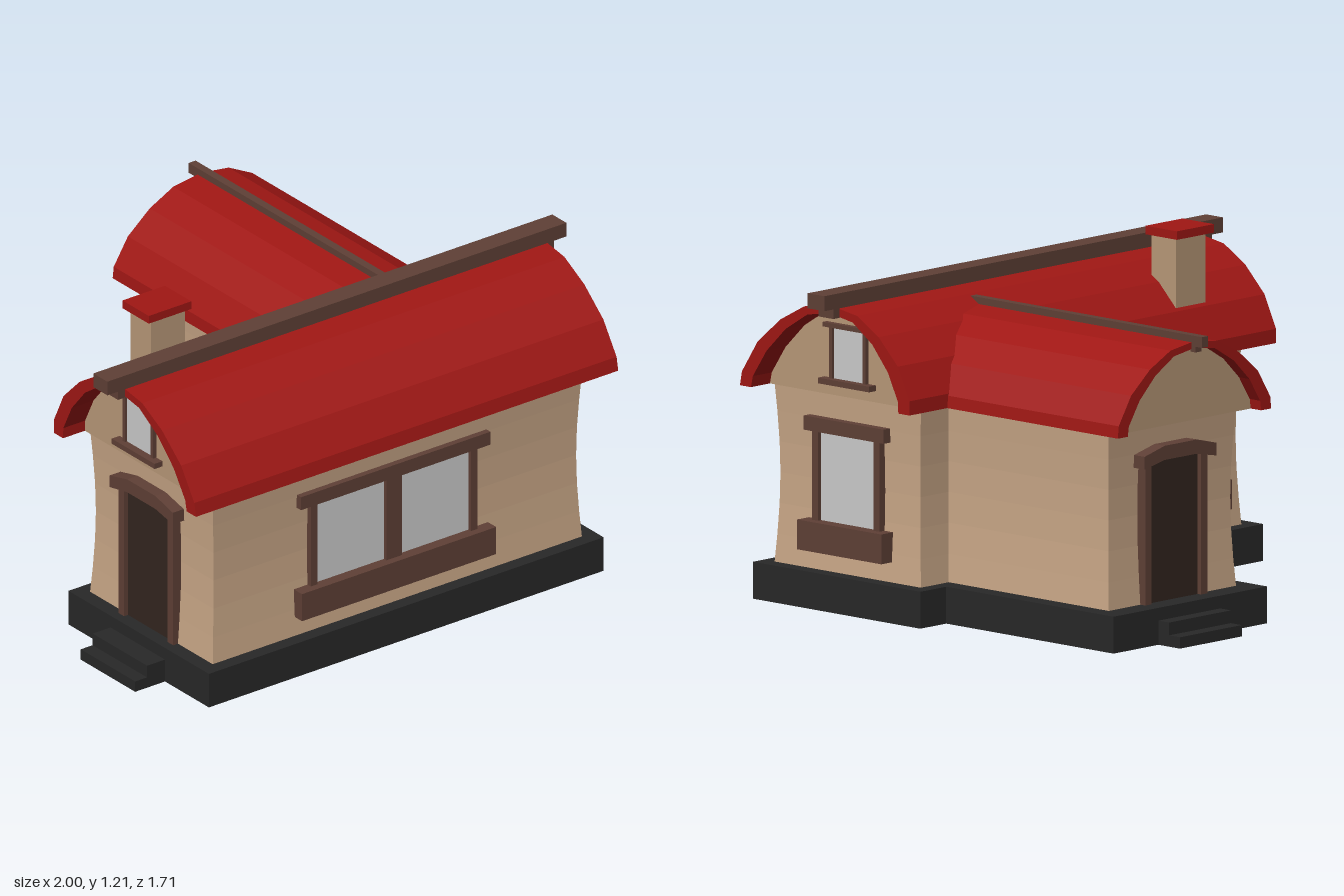
import * as THREE from 'three';

const mat = (color) => new THREE.MeshStandardMaterial({ color, flatShading: true, roughness: 0.9 });

export function createModel() {
  const M = {
    wall: mat(0xc9a787), gable: mat(0xb89878), roof: mat(0xa01714), wood: mat(0x5f4036),
    stone: mat(0x282828), door: mat(0x33261f), glass: mat(0xcccccc),
  };
  const house = new THREE.Group();
  house.name = 'house';

  const add = (parent, name, geometry, material) => {
    const mesh = new THREE.Mesh(geometry, material);
    mesh.name = name;
    parent.add(mesh);
    return mesh;
  };
  // Box given by its min and max on each axis
  const box = (parent, name, material, [x0, x1], [y0, y1], [z0, z1]) => {
    const g = new THREE.BoxGeometry(x1 - x0, y1 - y0, z1 - z0);
    g.translate((x0 + x1) / 2, (y0 + y1) / 2, (z0 + z1) / 2);
    return add(parent, name, g, material);
  };
  const extrude = (points, depth) => new THREE.ExtrudeGeometry(
    new THREE.Shape(points.map(([x, y]) => new THREE.Vector2(x, y))), { depth, bevelEnabled: false });

  // L-shaped plinth
  const plinth = extrude([[-0.86, -0.85], [0.86, -0.85], [0.86, -0.05], [0.73, -0.05],
    [0.73, 0.75], [-0.04, 0.75], [-0.04, -0.05], [-0.86, -0.05]], 0.13);
  plinth.rotateX(-Math.PI / 2);
  add(house, 'plinth', plinth, M.stone);

  // Walls, slightly pinched at half height
  const walls = (name, [x0, x1], [z0, z1]) => {
    const h = 0.65, pinch = 0.015;
    const g = new THREE.BoxGeometry(x1 - x0, h, z1 - z0, 1, 6, 1);
    const p = g.attributes.position;
    for (let i = 0; i < p.count; i++) {
      const inset = pinch * Math.cos((p.getY(i) / h) * Math.PI);
      p.setX(i, p.getX(i) - Math.sign(p.getX(i)) * inset);
      p.setZ(i, p.getZ(i) - Math.sign(p.getZ(i)) * inset);
    }
    g.translate((x0 + x1) / 2, 0.12 + h / 2, (z0 + z1) / 2);
    add(house, name, g, M.wall);
  };
  walls('mainWalls', [-0.805, 0.805], [0.1, 0.8]);
  walls('wingWalls', [0.025, 0.665], [-0.665, 0.3]);

  // Half profiles of the curved roof: [distance from centre, height above eaves]
  const outer = [[0.405, 0], [0.4, 0.05], [0.335, 0.165], [0.235, 0.257], [0.127, 0.318], [0, 0.338]];
  const inner = [[0.352, 0], [0.347, 0.04], [0.29, 0.138], [0.207, 0.227], [0.108, 0.292], [0, 0.31]];
  const EAVES = 0.76;
  const arch = (half, sx, sy, skew) => [
    ...half.map(([u, v]) => [u, v]), ...half.slice(0, -1).reverse().map(([u, v]) => [-u, v]),
  ].map(([u, v]) => [u * sx + skew * (v / 0.338), EAVES + v * sy]);

  // Roof shell and the gable body beneath it, centred on the origin along z
  const roof = (name, length, gableLength, sx, sy, skew) => {
    const group = new THREE.Group();
    group.name = name;
    const a = arch(outer, sx, sy, skew), b = arch(inner, sx, sy, skew);
    const shell = extrude([...a, ...b.slice().reverse()], length);
    shell.translate(0, 0, -length / 2);
    add(group, name + 'Shell', shell, M.roof);
    const body = extrude(b, gableLength);
    body.translate(0, 0, -gableLength / 2);
    add(group, name + 'Gable', body, M.gable);
    house.add(group);
    return group;
  };
  const mainRoof = roof('mainRoof', 1.84, 1.65, 1, 1, 0.03);
  mainRoof.rotation.y = Math.PI / 2;
  mainRoof.position.z = 0.45;
  const wingRoof = roof('wingRoof', 1.07, 0.97, 0.95, 0.86, 0);
  wingRoof.position.set(0.345, 0, -0.235);

  // Ridge beams with a small bracket at each free end
  box(house, 'mainRidge', M.wood, [-1, 1], [1.095, 1.148], [0.375, 0.455]);
  for (const s of [-1, 1]) {
    box(house, 'ridgeBracket', M.wood, [s * 0.935 - 0.015, s * 0.935 + 0.015], [1.06, 1.1], [0.38, 0.45]);
  }
  box(house, 'wingRidge', M.wood, [0.33, 0.36], [1.035, 1.073], [-0.82, 0.29]);
  box(house, 'wingRidgeBracket', M.wood, [0.33, 0.36], [1.015, 1.04], [-0.79, -0.765]);

  // Chimney
  box(house, 'chimneyShaft', M.gable, [-0.635, -0.485], [0.8, 1.185], [0.11, 0.225]);
  box(house, 'chimneyCap', M.roof, [-0.655, -0.47], [1.18, 1.21], [0.09, 0.24]);

  // Group whose local +z points out of a wall
  const onWall = (name, x, z, turn) => {
    const g = new THREE.Group();
    g.name = name;
    g.position.set(x, 0, z);
    g.rotation.y = turn;
    house.add(g);
    return g;
  };
  // Window: pane half width w, opening y0..y1, jamb width j, sill and lintel sizes
  const windowUnit = (g, { w, y0, y1, j, sillH, lintelH, over, mullion, out = 0.035 }) => {
    box(g, 'pane', M.glass, [-w, w], [y0, y1], [-0.03, 0.003]);
    for (const s of [-1, 1]) {
      const c = s * (w + j / 2);
      box(g, 'jamb', M.wood, [c - j / 2, c + j / 2], [y0, y1], [-0.03, out * 0.5]);
    }
    if (mullion) box(g, 'mullion', M.wood, [-mullion, mullion], [y0, y1], [-0.03, out * 0.5]);
    const e = w + j + over;
    box(g, 'lintel', M.wood, [-e, e], [y1, y1 + lintelH], [-0.03, out * 0.75]);
    box(g, 'sill', M.wood, [-e - 0.01, e + 0.01], [y0 - sillH, y0], [-0.03, out * 1.3]);
  };
  const H = Math.PI / 2;
  const big = { y0: 0.305, y1: 0.62, j: 0.028, sillH: 0.105, lintelH: 0.05 };
  const small = { w: 0.073, y0: 0.82, y1: 1.0, j: 0.014, sillH: 0.02, lintelH: 0.016, over: 0.025 };
  windowUnit(onWall('frontWindow', -0.02, 0.79, 0), { ...big, w: 0.335, over: 0.05, mullion: 0.033 });
  windowUnit(onWall('leftWindow', 0.8, 0.445, H), { ...big, w: 0.133, over: 0.03, out: 0.04 });
  windowUnit(onWall('backWindow', -0.42, 0.11, Math.PI), { ...big, w: 0.23, over: 0.03 });
  windowUnit(onWall('leftGableWindow', 0.827, 0.418, H), { ...small, out: 0.025 });
  windowUnit(onWall('rightGableWindow', -0.827, 0.418, -H), { ...small, out: 0.025 });

  // Door with an arched lintel and two steps
  const doorUnit = (g) => {
    box(g, 'doorLeaf', M.door, [-0.125, 0.125], [0.13, 0.635], [-0.03, 0.008]);
    for (const s of [-1, 1]) {
      box(g, 'doorJamb', M.wood, [s * 0.14 - 0.016, s * 0.14 + 0.016], [0.13, 0.63], [-0.03, 0.025]);
    }
    const lintel = extrude([[-0.18, 0.615], [-0.08, 0.635], [0.08, 0.635], [0.18, 0.615],
      [0.18, 0.66], [0.08, 0.685], [-0.08, 0.685], [-0.18, 0.66]], 0.07);
    lintel.translate(0, 0, -0.025);
    add(g, 'doorLintel', lintel, M.wood);
    box(g, 'upperStep', M.stone, [-0.155, 0.155], [0, 0.085], [0.03, 0.138]);
    box(g, 'lowerStep', M.stone, [-0.155, 0.155], [0, 0.04], [0.03, 0.19]);
  };
  doorUnit(onWall('rightDoor', -0.8, 0.445, -H));
  doorUnit(onWall('backDoor', 0.35, -0.663, Math.PI));

  return house;
}
